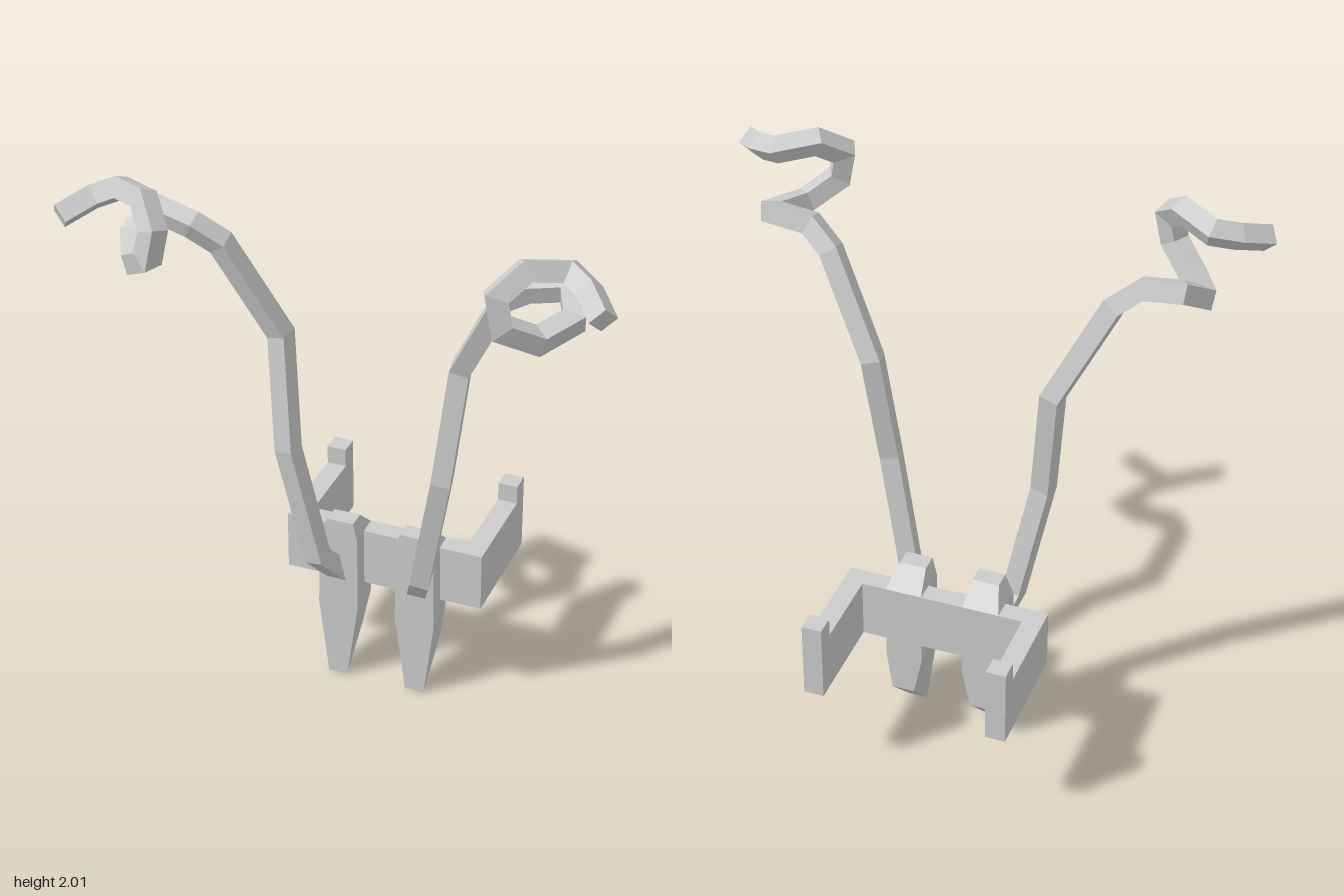
import * as THREE from 'three';

const material = new THREE.MeshStandardMaterial({ color: 0xcccccc, flatShading: true });
const V = (x, y, z) => new THREE.Vector3(x, y, z);

// Joins four-cornered rings (counter-clockwise seen from the far end) into a capped solid
function loft(rings) {
  const pos = [];
  const quad = (a, b, c, d) => [a, b, c, a, c, d].forEach(p => pos.push(p.x, p.y, p.z));
  for (let i = 0; i < rings.length - 1; i++) {
    for (let j = 0; j < 4; j++) {
      const k = (j + 1) % 4;
      quad(rings[i][j], rings[i][k], rings[i + 1][k], rings[i + 1][j]);
    }
  }
  const first = rings[0], last = rings[rings.length - 1];
  quad(first[3], first[2], first[1], first[0]);
  quad(last[0], last[1], last[2], last[3]);
  const g = new THREE.BufferGeometry();
  g.setAttribute('position', new THREE.Float32BufferAttribute(pos, 3));
  g.computeVertexNormals();
  return g;
}

// Square bar along a bent path, with mitred joints; its first end is cut flat against z
function mitredBar(points, half) {
  const dirs = points.slice(1).map((p, i) => p.clone().sub(points[i]).normalize());
  const d0 = dirs[0];
  const u = V(1, 0, 0).addScaledVector(d0, -d0.x).normalize();
  const v = d0.clone().cross(u);
  let ring = [[1, 1], [-1, 1], [-1, -1], [1, -1]].map(([a, b]) =>
    points[0].clone().addScaledVector(u, a * half).addScaledVector(v, b * half));
  const rings = points.map((p, i) => {
    const along = dirs[Math.max(i - 1, 0)];
    let normal = along.clone();
    if (i === 0) normal = V(0, 0, 1);
    else if (i < dirs.length) normal.add(dirs[i]);
    ring = ring.map(c => {
      const t = p.clone().sub(c).dot(normal) / along.dot(normal);
      return c.clone().addScaledVector(along, t);
    });
    return ring;
  });
  return loft(rings);
}

// Arm centre line on the +x side: long bent stalk, then a curl
const armPath = [
  [0.16, 0.455, 0], [0.19, 0.53, 0.065], [0.275, 0.97, 0.105], [0.315, 1.38, 0.055],
  [0.485, 1.72, 0.132], [0.57, 1.785, 0.165], [0.70, 1.81, 0.15], [0.745, 1.75, 0.24],
  [0.675, 1.735, 0.375], [0.585, 1.80, 0.455], [0.565, 1.90, 0.45], [0.63, 1.965, 0.375],
  [0.745, 1.95, 0.305], [0.82, 1.925, 0.35], [0.895, 1.885, 0.44],
];

// Blade sections: front y, front x range, back y, back z, back x range
const bladeSections = [
  [0, 0.11, 0.18, 0.145, -0.14, 0.105, 0.185],
  [0.29, 0.07, 0.215, 0.29, -0.14, 0.075, 0.205],
  [0.575, 0.07, 0.21, 0.575, -0.14, 0.075, 0.205],
  [0.645, 0.085, 0.18, 0.645, -0.065, 0.085, 0.18],
];

export function createModel() {
  const model = new THREE.Group();
  model.name = 'armHarness';
  const add = (parent, name, geometry) => {
    const mesh = new THREE.Mesh(geometry, material);
    mesh.name = name;
    parent.add(mesh);
  };

  // U-shaped bracket with an upright post at the end of each side
  const bracketShape = new THREE.Shape([
    [-0.36, 0.07], [0.36, 0.07], [0.36, 0.5], [0.29, 0.5],
    [0.29, 0.14], [-0.29, 0.14], [-0.29, 0.5], [-0.36, 0.5],
  ].map(([x, y]) => new THREE.Vector2(x, y)));
  const bracket = new THREE.ExtrudeGeometry(bracketShape, { depth: 0.215, bevelEnabled: false });
  bracket.rotateX(-Math.PI / 2).translate(0, 0.362, 0);
  add(model, 'bracket', bracket);

  for (const s of [1, -1]) {
    const side = new THREE.Group();
    side.name = s > 0 ? 'leftSide' : 'rightSide';
    model.add(side);

    const post = new THREE.BoxGeometry(0.07, 0.068, 0.07).translate(s * 0.325, 0.611, -0.465);
    add(side, 'bracketPost', post);

    // Tapered plate with a slanted tip
    const rings = bladeSections.map(([yf, f0, f1, yb, zb, b0, b1]) => [
      V(s > 0 ? f1 : -f0, yf, 0), V(s > 0 ? b1 : -b0, yb, zb),
      V(s > 0 ? b0 : -b1, yb, zb), V(s > 0 ? f0 : -f1, yf, 0),
    ]);
    add(side, 'blade', loft(rings));

    add(side, 'curledArm', mitredBar(armPath.map(([x, y, z]) => V(s * x, y, z)), 0.033));
  }
  return model;
}
